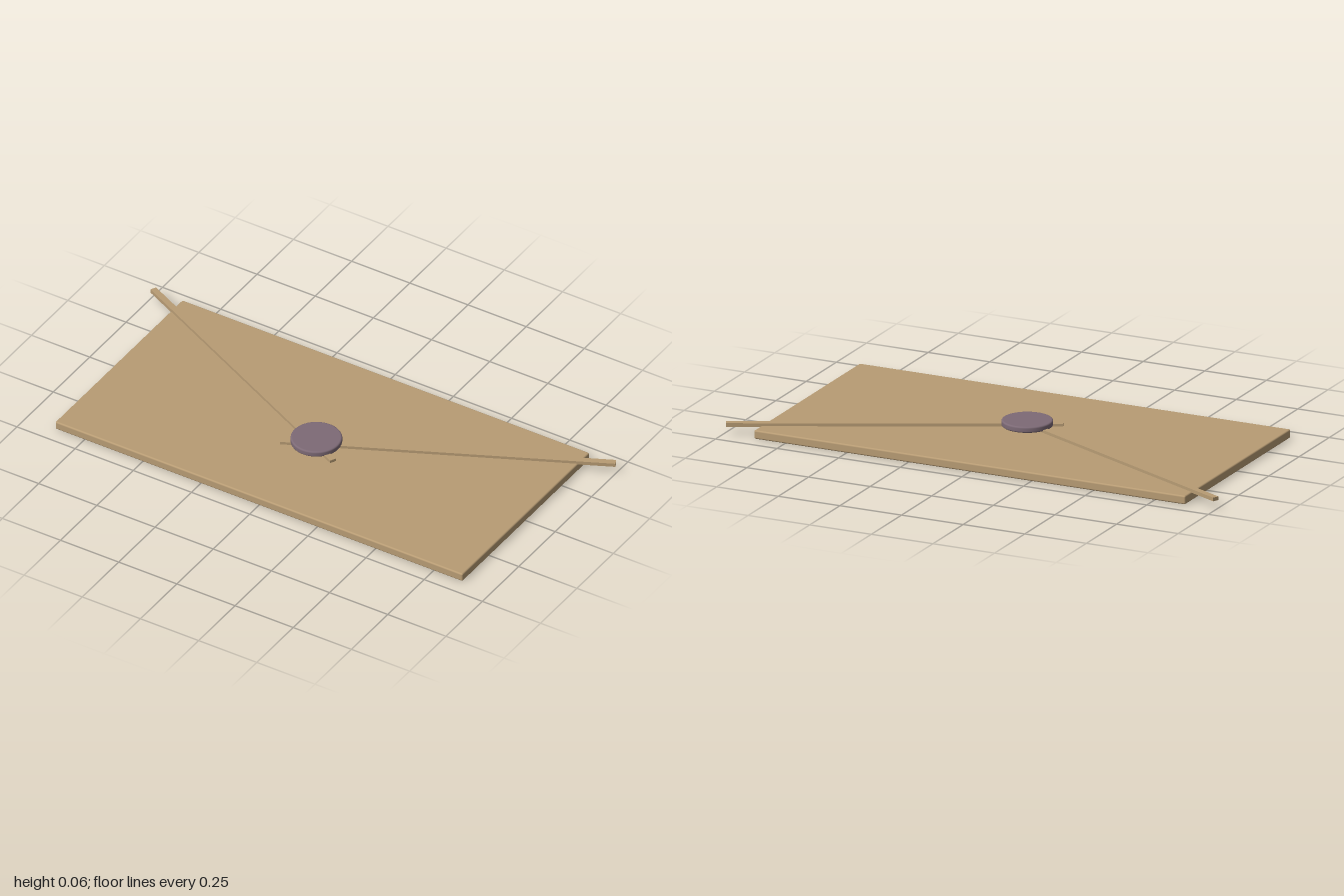
import * as THREE from 'three';
import { RoundedBoxGeometry } from 'three/addons/geometries/RoundedBoxGeometry.js';

export function createModel() {
  const group = new THREE.Group();
  const paper = new THREE.MeshStandardMaterial({ color: 0xb89c74 });
  paper.name = 'tan paper';
  const wax = new THREE.MeshStandardMaterial({ color: 0x7d6a76 });
  wax.name = 'mauve wax';

  const add = (name, geometry, material, x, y, z) => {
    const mesh = new THREE.Mesh(geometry, material);
    mesh.name = name;
    mesh.position.set(x, y, z);
    group.add(mesh);
    return mesh;
  };

  // Flat envelope slab with softened edges
  add('envelope', new RoundedBoxGeometry(1.75, 0.033, 0.874, 3, 0.006), paper, 0, 0.0165, 0);

  // Two flap strips crossing under the seal and reaching past the back corners
  for (const side of [1, -1]) {
    const outer = new THREE.Vector2(0.994, -0.427);
    const inner = new THREE.Vector2(-0.113, 0.108);
    const run = inner.clone().sub(outer);
    const strip = add(
      side > 0 ? 'leftFlapStrip' : 'rightFlapStrip',
      new THREE.BoxGeometry(run.length(), 0.014, 0.024), paper,
      side * (outer.x + inner.x) / 2, 0.037, (outer.y + inner.y) / 2
    );
    strip.rotation.y = side * Math.atan2(run.y, -run.x);
  }

  // Round wax seal with a rounded rim
  const r = 0.0945, h = 0.023, b = 0.006;
  const profile = [new THREE.Vector2(0, 0), new THREE.Vector2(r - b, 0)];
  for (const [y, start] of [[b, -Math.PI / 2], [h - b, 0]]) {
    for (let i = 0; i <= 4; i++) {
      const a = start + (i / 4) * (Math.PI / 2);
      profile.push(new THREE.Vector2(r - b + b * Math.cos(a), y + b * Math.sin(a)));
    }
  }
  profile.push(new THREE.Vector2(r - b - 0.001, h), new THREE.Vector2(0, h));
  add('waxSeal', new THREE.LatheGeometry(profile, 48), wax, 0, 0.038, 0.041);

  return group;
}
